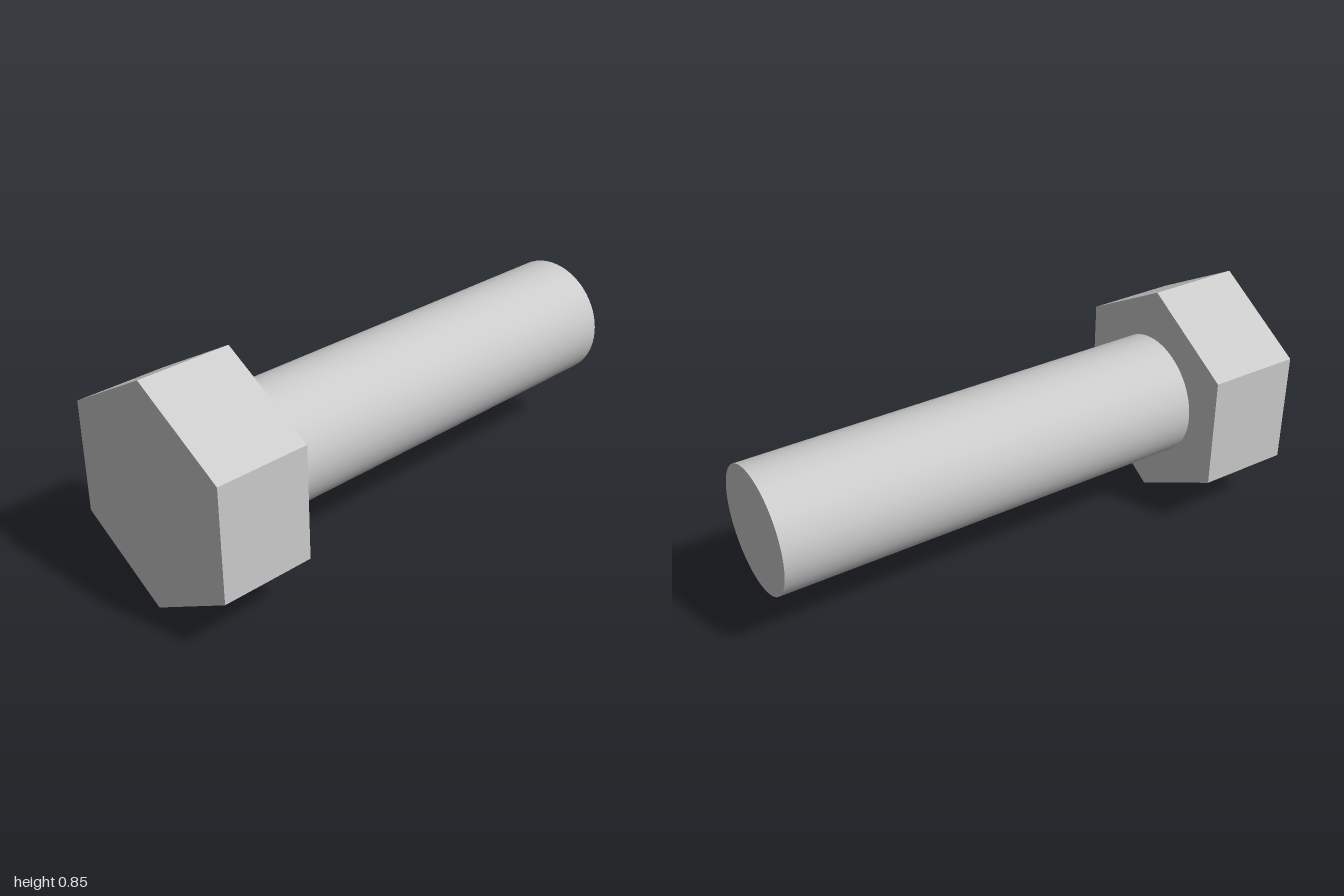
import * as THREE from 'three';

const HEAD_RADIUS = 0.426; // centre to corner; also the axis height
const SHANK_RADIUS = 0.232;
const HEAD_END = -0.65;

// Prism or cylinder lying along x from x0 to x1, with a corner pointing straight up
function bar(name, radius, x0, x1, sides, flatShading) {
  const geometry = new THREE.CylinderGeometry(radius, radius, x1 - x0, sides, 1, false, Math.PI / 2);
  geometry.rotateZ(-Math.PI / 2);
  const material = new THREE.MeshStandardMaterial({ color: 0xcccccc, flatShading });
  const mesh = new THREE.Mesh(geometry, material);
  mesh.name = name;
  mesh.position.set((x0 + x1) / 2, HEAD_RADIUS, 0);
  return mesh;
}

export function createModel() {
  const bolt = new THREE.Group();
  bolt.name = 'hexBolt';
  // Six-sided head with crisp faces
  bolt.add(bar('head', HEAD_RADIUS, -1, HEAD_END, 6, true));
  // Smooth round shank
  bolt.add(bar('shank', SHANK_RADIUS, HEAD_END, 1, 64, false));
  return bolt;
}
